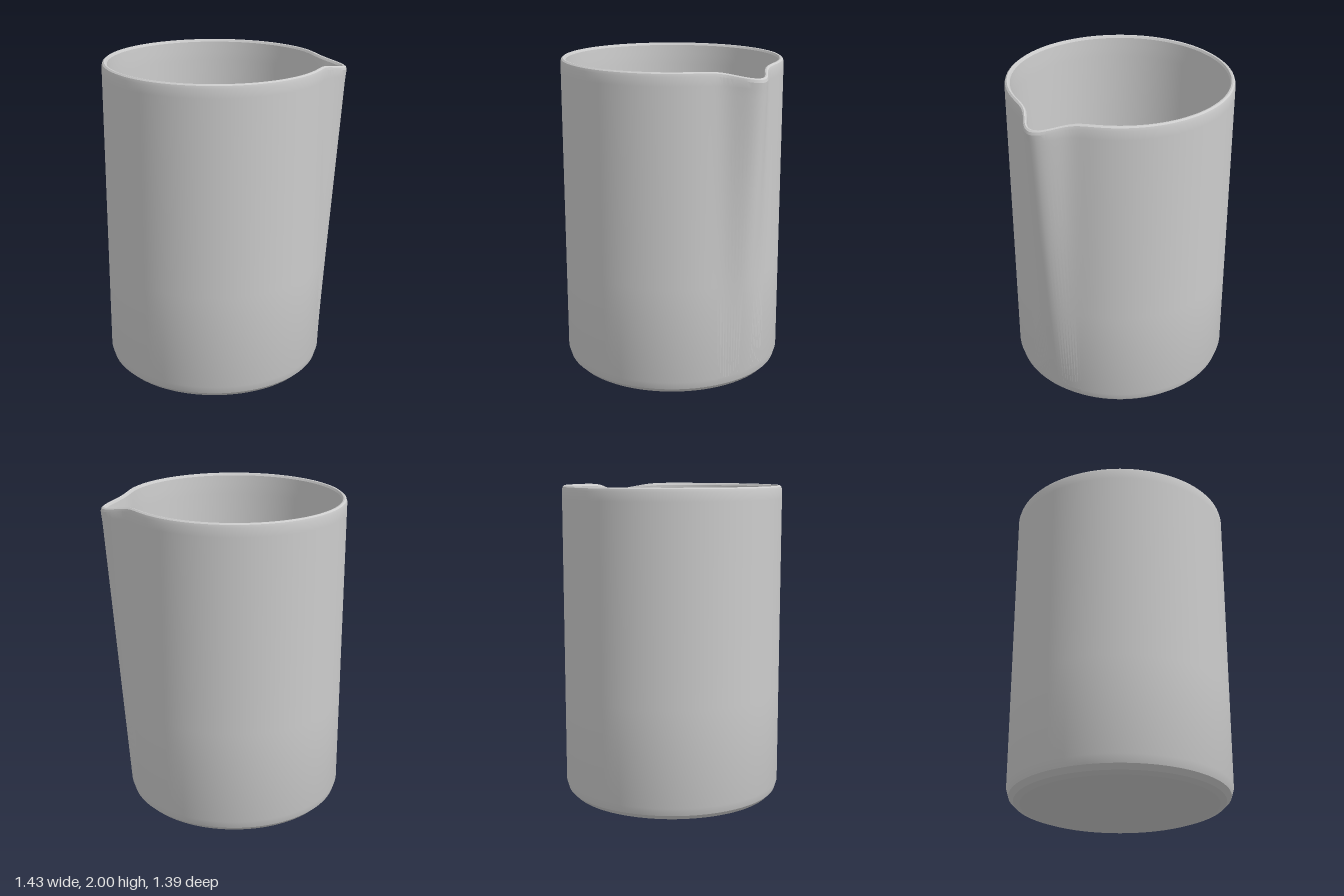
import * as THREE from 'three';
import { toCreasedNormals } from 'three/addons/utils/BufferGeometryUtils.js';

const SPOUT_ANGLE = THREE.MathUtils.degToRad(28.5);
const bell = (angle, widthDegrees) =>
  Math.exp(-((angle / THREE.MathUtils.degToRad(widthDegrees)) ** 2));

// Pull the wall outward into a tapering spout and dip the rim there.
function shapeSpout(geometry) {
  const p = geometry.attributes.position;
  for (let i = 0; i < p.count; i++) {
    const x = p.getX(i), y = p.getY(i), z = p.getZ(i);
    const r = Math.hypot(x, z);
    if (r < 1e-4) continue;
    const angle = Math.atan2(z, x);
    const off = angle - SPOUT_ANGLE;
    const rise = THREE.MathUtils.clamp((y - 0.095) / 1.88, 0, 1);
    const lip = THREE.MathUtils.smoothstep(y, 1.86, 1.975);
    const radius = r + 0.128 * rise * bell(off, 10);
    p.setXYZ(i, radius * Math.cos(angle), y - 0.042 * lip * bell(off, 12), radius * Math.sin(angle));
  }
  return geometry;
}

export function createModel() {
  const group = new THREE.Group();
  group.name = 'beaker';
  const grey = new THREE.MeshStandardMaterial({ color: 0xcccccc });
  grey.name = 'light grey';

  // Closed cross-section: underside, outer wall, rounded rim, inner wall, floor.
  const profile = [
    [0, 0], [0.61, 0], [0.65, 0.015], [0.68, 0.045], [0.695, 0.095],
    [0.695, 0.7], [0.695, 1.3], [0.695, 1.86], [0.695, 1.92], [0.695, 1.975],
    [0.69, 1.992], [0.68, 2], [0.67, 1.998], [0.662, 1.985],
    [0.658, 1.92], [0.656, 1.86], [0.652, 1.3], [0.648, 0.7], [0.643, 0.14],
    [0.628, 0.09], [0.59, 0.065], [0, 0.065],
  ].map(([r, y]) => new THREE.Vector2(r, y));

  const geometry = shapeSpout(new THREE.LatheGeometry(profile, 240));
  const body = new THREE.Mesh(toCreasedNormals(geometry, 0.3), grey);
  body.name = 'beakerBody';
  body.position.x = -0.025;
  group.add(body);
  return group;
}
